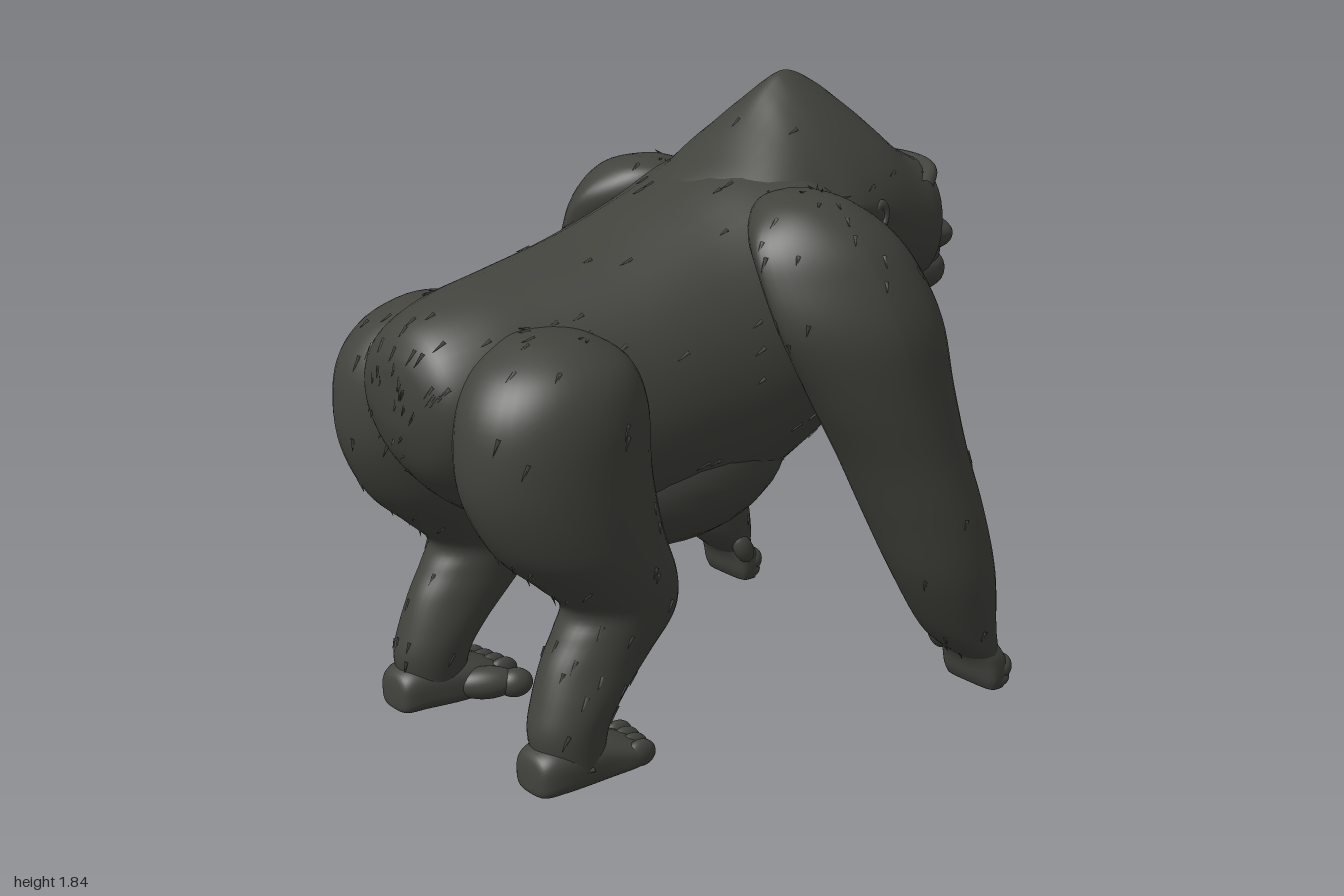
import * as THREE from 'three';
import { mergeGeometries } from 'three/addons/utils/BufferGeometryUtils.js';

const fur = new THREE.MeshStandardMaterial({ color: 0x42433d });
fur.name = 'charcoal fur';

// Catmull-Rom blend of four numbers
const blend = (a, b, c, d, t) =>
  b + 0.5 * t * (c - a + t * (2 * a - 5 * b + 4 * c - d + t * (3 * (b - c) + d - a)));

// Skin over rings. Row: [along, low, high, z centre, z half width, high-side power, low-side power].
// Axis 'x': rings stand upright, low/high are y. Axis 'y': rings lie flat, low/high are x.
function loft(axis, rows, side = 1, steps = 6, n = 40) {
  const full = rows.map(r => [...r, ...[1, 1].slice(r.length - 5)]);
  const pos = [], index = [];
  const put = (t, v, z) => (axis === 'x' ? pos.push(t, v, z) : pos.push(v, t, z));
  const rings = [];
  for (let i = 0; i < full.length - 1; i++) {
    const at = k => full[Math.min(Math.max(k, 0), full.length - 1)];
    for (let s = 0; s < steps + (i === full.length - 2 ? 1 : 0); s++)
      rings.push(at(i).map((_, k) => blend(at(i - 1)[k], at(i)[k], at(i + 1)[k], at(i + 2)[k], s / steps)));
  }
  for (const [t, lo, hi, zc, hw, eUp, eLow] of rings)
    for (let j = 0; j < n; j++) {
      const a = (j / n) * Math.PI * 2, c = Math.cos(a), s = Math.sin(a), e = s >= 0 ? eUp : eLow;
      put(t, (lo + hi) / 2 + (hi - lo) / 2 * Math.sign(s) * Math.abs(s) ** e,
        zc * side + hw * Math.sign(c) * Math.abs(c) ** e);
    }
  const tri = (a, b, c) => (axis === 'y' ? index.push(a, b, c) : index.push(a, c, b));
  const last = rings.length - 1, cap = rings.length * n;
  for (const r of [rings[0], rings[last]]) put(r[0], (r[1] + r[2]) / 2, r[3] * side);
  for (let j = 0; j < n; j++) {
    const k = (j + 1) % n;
    for (let i = 0; i < last; i++) {
      tri(i * n + j, i * n + k, (i + 1) * n + k);
      tri(i * n + j, (i + 1) * n + k, (i + 1) * n + j);
    }
    tri(cap, k, j);
    tri(cap + 1, last * n + j, last * n + k);
  }
  const g = new THREE.BufferGeometry();
  g.setAttribute('position', new THREE.Float32BufferAttribute(pos, 3));
  g.setIndex(index);
  g.computeVertexNormals();
  return g;
}

// Small locks of fur lying along a surface
function tufts(geometry, count, flow, seed) {
  const rand = () => (seed = (seed * 16807) % 2147483647) / 2147483647;
  const p = geometry.attributes.position, nor = geometry.attributes.normal, out = [];
  const up = new THREE.Vector3(0, 1, 0);
  for (let i = 0; i < count; i++) {
    const k = Math.floor(rand() * (p.count - 2));
    const normal = new THREE.Vector3().fromBufferAttribute(nor, k);
    const dir = flow.clone().addScaledVector(normal, 0.15 - flow.dot(normal)).normalize();
    const cone = new THREE.ConeGeometry(0.008, 0.03 + rand() * 0.02, 4);
    cone.applyQuaternion(new THREE.Quaternion().setFromUnitVectors(up, dir));
    cone.translate(p.getX(k), p.getY(k), p.getZ(k));
    out.push(cone);
  }
  return mergeGeometries(out);
}

export function createModel() {
  const model = new THREE.Group();
  model.name = 'ape';
  const add = (name, geometry, parent = model) => {
    const m = new THREE.Mesh(geometry, fur);
    m.name = name;
    parent.add(m);
    return m;
  };
  const ball = (name, p, r, parent = model, rz = 0) => {
    const m = add(name, new THREE.SphereGeometry(1, 28, 20), parent);
    m.position.set(...p);
    m.scale.set(...r);
    m.rotation.z = rz;
    return m;
  };

  // Torso, from the rump to the chest
  const torso = loft('x', [
    [-1.0, 1.07, 1.17, 0, 0.05],
    [-0.985, 0.98, 1.22, 0, 0.15],
    [-0.93, 0.86, 1.29, 0, 0.23],
    [-0.8, 0.74, 1.345, 0, 0.29, 0.95],
    [-0.6, 0.65, 1.39, 0, 0.34, 0.95],
    [-0.35, 0.6, 1.445, 0, 0.4, 0.95],
    [-0.1, 0.58, 1.53, 0, 0.43, 0.95],
    [0.1, 0.62, 1.6, 0, 0.45, 0.85],
    [0.26, 0.7, 1.61, 0, 0.45, 0.72],
    [0.38, 0.78, 1.54, 0, 0.41, 0.75],
    [0.47, 0.88, 1.44, 0, 0.34],
    [0.515, 0.96, 1.36, 0, 0.24],
    [0.53, 1.06, 1.28, 0, 0.1]]);
  add('torso', torso);
  add('backFur', tufts(torso, 180, new THREE.Vector3(-0.9, -0.4, 0), 11));
  ball('belly', [-0.12, 0.785, 0], [0.44, 0.285, 0.375], model, 0.1);

  // Head with a pointed crest, running back into the neck
  const head = loft('x', [
    [-0.12, 1.3, 1.5, 0, 0.08],
    [0.0, 1.2, 1.57, 0, 0.22],
    [0.12, 1.12, 1.635, 0, 0.31],
    [0.22, 1.09, 1.715, 0, 0.335, 1.15, 1],
    [0.31, 1.08, 1.8, 0, 0.335, 1.45, 1],
    [0.39, 1.09, 1.84, 0, 0.33, 1.62, 1],
    [0.5, 1.1, 1.8, 0, 0.31, 1.45, 0.95],
    [0.62, 1.11, 1.71, 0, 0.287, 1.15, 0.9],
    [0.74, 1.115, 1.605, 0, 0.262, 0.95, 0.9],
    [0.83, 1.13, 1.555, 0, 0.235, 0.9, 0.9],
    [0.875, 1.18, 1.525, 0, 0.19, 0.85, 0.9],
    [0.885, 1.25, 1.42, 0, 0.07]]);
  add('head', head);
  add('headFur', tufts(head, 40, new THREE.Vector3(-0.9, -0.4, 0), 5));

  // Face
  const face = new THREE.Group();
  face.name = 'face';
  model.add(face);
  const brow = new THREE.CatmullRomCurve3([[0.78, 1.47, -0.215], [0.85, 1.505, -0.16], [0.885, 1.515, -0.07],
    [0.885, 1.515, 0.07], [0.85, 1.505, 0.16], [0.78, 1.47, 0.215]].map(p => new THREE.Vector3(...p)));
  add('browRidge', new THREE.TubeGeometry(brow, 32, 0.025, 12), face);
  ball('noseBridge', [0.88, 1.43, 0], [0.045, 0.11, 0.06], face);
  ball('nose', [0.905, 1.365, 0], [0.08, 0.06, 0.125], face);
  ball('muzzle', [0.83, 1.265, 0], [0.14, 0.15, 0.2], face);
  add('upperLip', loft('x', [[0.72, 1.22, 1.39, 0, 0.2], [0.86, 1.235, 1.37, 0, 0.2, 1, 0.7],
    [0.94, 1.245, 1.35, 0, 0.18, 1, 0.7], [0.98, 1.255, 1.34, 0, 0.13], [0.99, 1.285, 1.31, 0, 0.04]]), face);
  add('lowerJaw', loft('x', [[0.7, 1.12, 1.29, 0, 0.2], [0.84, 1.1, 1.265, 0, 0.2, 0.7, 0.95],
    [0.91, 1.11, 1.255, 0, 0.18, 0.7, 0.95], [0.95, 1.14, 1.245, 0, 0.13], [0.965, 1.18, 1.22, 0, 0.04]]), face);

  for (const s of [1, -1]) {
    const label = s > 0 ? 'left' : 'right';

    // Eyes, nostrils and ears
    ball(label + 'Eye', [0.868, 1.46, 0.125 * s], [0.025, 0.018, 0.032], face);
    const lid = add(label + 'Eyelid', new THREE.TorusGeometry(0.034, 0.009, 8, 24), face);
    lid.position.set(0.872, 1.46, 0.125 * s);
    lid.rotation.y = Math.PI / 2 - 0.25 * s;
    lid.scale.y = 0.6;
    const nostril = add(label + 'Nostril', new THREE.TorusGeometry(0.032, 0.014, 10, 24), face);
    nostril.position.set(0.96, 1.352, 0.065 * s);
    nostril.rotation.y = Math.PI / 2 - 0.4 * s;
    nostril.scale.y = 0.8;
    const ear = add(label + 'Ear', new THREE.TorusGeometry(0.024, 0.011, 10, 24));
    ear.position.set(0.51, 1.43, 0.3 * s);
    ear.rotation.z = -0.2;
    ear.scale.y = 1.5;

    // Arm, from the wrist up to the shoulder
    const arm = loft('y', [
      [0.08, 0.65, 0.72, 0.58, 0.08],
      [0.11, 0.61, 0.73, 0.58, 0.105],
      [0.2, 0.51, 0.73, 0.57, 0.125],
      [0.4, 0.38, 0.7, 0.575, 0.155],
      [0.6, 0.28, 0.65, 0.56, 0.175],
      [0.8, 0.18, 0.585, 0.545, 0.18],
      [1.0, 0.06, 0.535, 0.535, 0.185, 1, 1.1],
      [1.2, -0.05, 0.5, 0.515, 0.195, 1, 1.3],
      [1.36, -0.08, 0.445, 0.455, 0.2, 1, 1.4],
      [1.46, -0.06, 0.38, 0.4, 0.19, 1, 1.3],
      [1.535, 0.02, 0.28, 0.36, 0.13],
      [1.565, 0.1, 0.19, 0.34, 0.04]], s);
    add(label + 'Arm', arm);
    add(label + 'ArmFur', tufts(arm, 60, new THREE.Vector3(-0.3, -0.95, 0), 21 + s));

    // Hand resting on its knuckles
    const hand = new THREE.Group();
    hand.name = label + 'Hand';
    model.add(hand);
    add('fist', loft('y', [
      [0, 0.665, 0.735, 0.58, 0.1, 0.5, 0.5],
      [0.03, 0.65, 0.738, 0.58, 0.11, 0.5, 0.6],
      [0.08, 0.635, 0.738, 0.58, 0.112, 0.5, 0.7],
      [0.12, 0.61, 0.73, 0.58, 0.108, 0.7, 0.9],
      [0.17, 0.56, 0.71, 0.575, 0.09]], s), hand);
    for (let i = 0; i < 4; i++) {
      const z = (0.5 + i * 0.054) * s;
      ball('knuckle', [0.722, 0.065, z], [0.032, 0.04, 0.034], hand);
      ball('fingertip', [0.715, 0.03, z], [0.033, 0.03, 0.03], hand);
    }
    ball('thumb', [0.65, 0.13, 0.465 * s], [0.035, 0.06, 0.03], hand, 0.5);

    // Leg, from the ankle up to the hip
    const leg = loft('y', [
      [0.06, -0.78, -0.58, 0.35, 0.09],
      [0.16, -0.8, -0.56, 0.345, 0.105],
      [0.25, -0.78, -0.5, 0.34, 0.115],
      [0.35, -0.745, -0.4, 0.335, 0.12],
      [0.43, -0.7, -0.33, 0.335, 0.13],
      [0.5, -0.67, -0.315, 0.335, 0.145],
      [0.58, -0.75, -0.325, 0.33, 0.17],
      [0.7, -0.88, -0.365, 0.32, 0.2],
      [0.88, -0.965, -0.4, 0.31, 0.22],
      [1.07, -0.965, -0.41, 0.305, 0.22],
      [1.19, -0.9, -0.45, 0.28, 0.2],
      [1.26, -0.79, -0.55, 0.25, 0.13],
      [1.28, -0.72, -0.64, 0.24, 0.03]], s);
    add(label + 'Leg', leg);
    add(label + 'LegFur', tufts(leg, 60, new THREE.Vector3(-0.5, -0.85, 0), 31 + s));

    // Foot with four toes and a big toe turned inward
    const foot = new THREE.Group();
    foot.name = label + 'Foot';
    model.add(foot);
    add('sole', loft('x', [
      [-0.825, 0.02, 0.08, 0.35, 0.03],
      [-0.81, 0.002, 0.12, 0.35, 0.07, 0.8, 0.5],
      [-0.74, 0, 0.14, 0.35, 0.09, 0.8, 0.5],
      [-0.6, 0, 0.125, 0.34, 0.1, 0.8, 0.5],
      [-0.5, 0.01, 0.09, 0.35, 0.1, 0.8, 0.6],
      [-0.46, 0.02, 0.07, 0.355, 0.08]], s), foot);
    for (let i = 0; i < 4; i++)
      ball('toe', [-0.465 - 0.008 * i, 0.055, (0.287 + i * 0.046) * s], [0.05, 0.04, 0.026], foot, -0.2);
    ball('bigToe', [-0.56, 0.055, 0.24 * s], [0.1, 0.05, 0.05], foot).rotation.y = 0.5 * s;
    ball('bigToeTip', [-0.485, 0.05, 0.195 * s], [0.055, 0.045, 0.042], foot).rotation.y = 0.3 * s;
  }
  return model;
}
